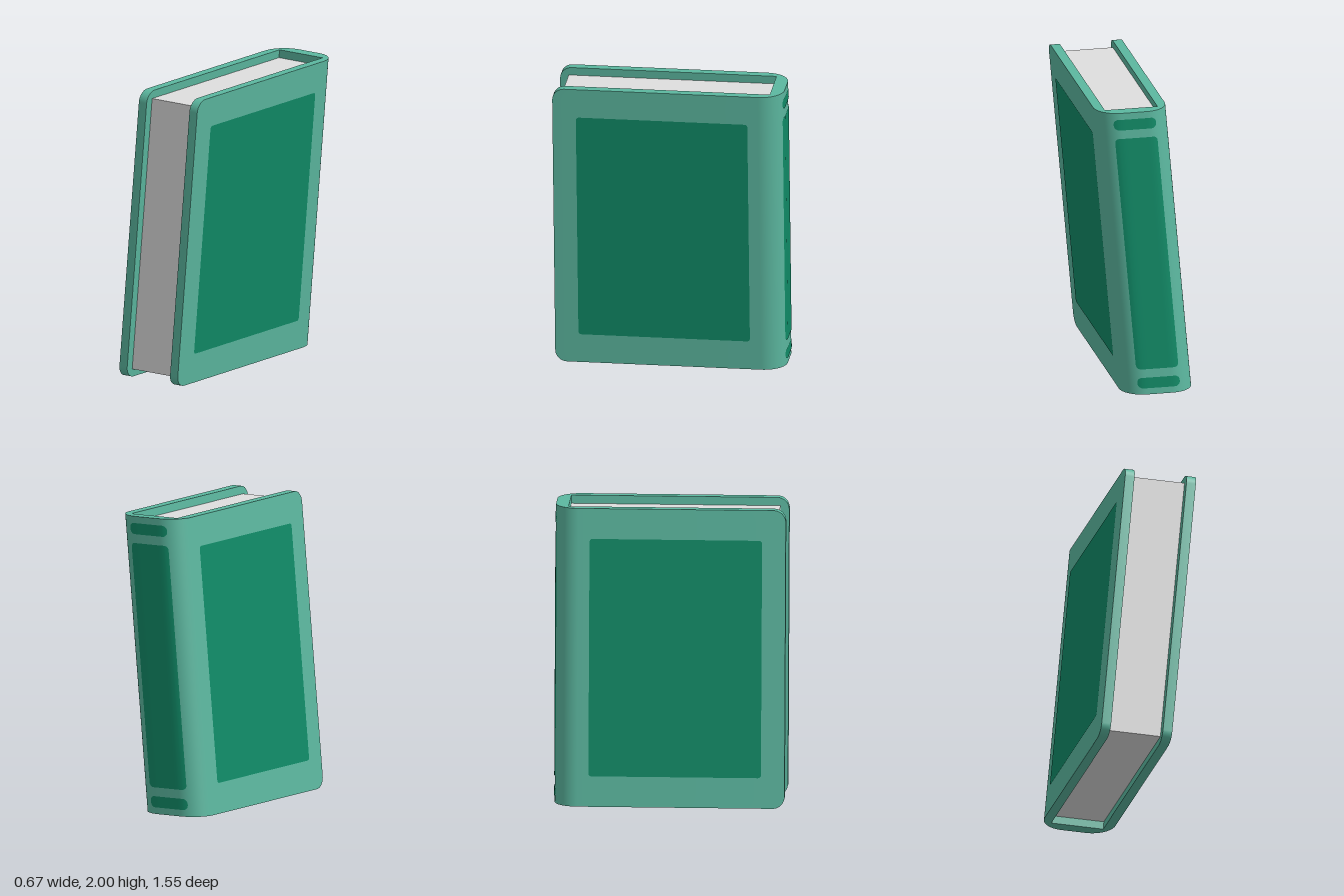
import * as THREE from 'three';
import { toCreasedNormals } from 'three/addons/utils/BufferGeometryUtils.js';

const HALF_W = 0.245, BACK = -0.773, FRONT = 0.773, HEIGHT = 2;
const THICK = 0.065, SPINE_R = 0.16, CORNER_R = 0.08, LEAN = 0.0885;
const LIFT = 0.004; // height of the painted panels above the cover

// Slant the book sideways while keeping its top and bottom level
function lean(geometry) {
  const p = geometry.attributes.position;
  for (let i = 0; i < p.count; i++) p.setX(i, p.getX(i) + LEAN * (p.getY(i) - 1));
  return geometry;
}

// Depth of the rounded spine at a given x
function spineZ(x) {
  const d = Math.max(0, Math.abs(x) - (HALF_W - SPINE_R));
  return BACK + SPINE_R - Math.sqrt(SPINE_R * SPINE_R - d * d);
}

// U-shaped binding, extruded upwards, with rounded front corners
function bindingGeometry() {
  const s = new THREE.Shape(); // shape y is -z
  const inner = HALF_W - THICK, flat = HALF_W - SPINE_R, arcY = -BACK - SPINE_R;
  s.moveTo(HALF_W, -FRONT);
  s.lineTo(HALF_W, arcY);
  s.absarc(flat, arcY, SPINE_R, 0, Math.PI / 2, false);
  s.lineTo(-flat, -BACK);
  s.absarc(-flat, arcY, SPINE_R, Math.PI / 2, Math.PI, false);
  s.lineTo(-HALF_W, -FRONT);
  s.lineTo(-inner, -FRONT);
  s.lineTo(-inner, 0.685);
  s.lineTo(inner, 0.685);
  s.lineTo(inner, -FRONT);

  const n = 8, rows = 2 * n + 1;
  const g = new THREE.ExtrudeGeometry(s, { depth: rows, steps: rows, bevelEnabled: false, curveSegments: 10 });
  g.rotateX(-Math.PI / 2);
  // Respace the rows and pull the front edge back around each corner
  const p = g.attributes.position;
  for (let i = 0; i < p.count; i++) {
    const row = Math.round(p.getY(i));
    const a = (Math.min(row, rows - row) / n) * Math.PI / 2;
    const y = CORNER_R * (1 - Math.cos(a));
    p.setY(i, row <= n ? y : HEIGHT - y);
    if (p.getZ(i) > FRONT - 0.001) p.setZ(i, FRONT - CORNER_R * (1 - Math.sin(a)));
  }
  return toCreasedNormals(lean(g), 0.5);
}

// Rounded rectangle made of columns, placed on a surface by place(u, y)
function panelGeometry(u0, u1, y0, y1, r, place) {
  const us = [], n = 6, mid = 12;
  for (let i = 0; i <= n; i++) us.push(u0 + r * (1 - Math.cos((i / n) * Math.PI / 2)));
  for (let i = 1; i < mid; i++) us.push(u0 + r + (u1 - u0 - 2 * r) * i / mid);
  for (let i = n; i >= 0; i--) us.push(u1 - r * (1 - Math.cos((i / n) * Math.PI / 2)));
  const pos = [], index = [];
  us.forEach((u, i) => {
    const d = Math.min(r, Math.max(0, r - Math.min(u - u0, u1 - u)));
    const inset = r - Math.sqrt(r * r - d * d);
    pos.push(...place(u, y0 + inset), ...place(u, y1 - inset));
    if (i) {
      const a = 2 * i - 2;
      index.push(a, a + 2, a + 3, a, a + 3, a + 1);
    }
  });
  const g = new THREE.BufferGeometry();
  g.setAttribute('position', new THREE.Float32BufferAttribute(pos, 3));
  g.setIndex(index);
  lean(g).computeVertexNormals();
  return g;
}

export function createModel() {
  const book = new THREE.Group();
  book.name = 'book';
  const coverMat = new THREE.MeshStandardMaterial({ name: 'cover green', color: 0x5cb8a0 });
  const panelMat = new THREE.MeshStandardMaterial({ name: 'panel dark green', color: 0x108b67 });
  const pageMat = new THREE.MeshStandardMaterial({ name: 'page white', color: 0xdedede });

  function add(name, geometry, material) {
    const mesh = new THREE.Mesh(geometry, material);
    mesh.name = name;
    book.add(mesh);
  }

  add('binding', bindingGeometry(), coverMat);

  // Page block between the covers
  const pages = new THREE.BoxGeometry(2 * (HALF_W - THICK), 1.89, 1.4);
  pages.translate(0, 1, 0.015);
  lean(pages).computeVertexNormals();
  add('pages', pages, pageMat);

  // Large panel on each cover; u runs so that the face points outwards
  for (const side of [1, -1]) {
    const place = (u, y) => [side * (HALF_W + LIFT), y, -side * u];
    const [u0, u1] = side > 0 ? [-0.615, 0.54] : [-0.54, 0.615];
    add(side > 0 ? 'leftCoverPanel' : 'rightCoverPanel', panelGeometry(u0, u1, 0.205, 1.797, 0.02, place), panelMat);
  }

  // Panels wrapped over the rounded spine
  const onSpine = (u, y) => [-u, y, spineZ(u) - LIFT];
  add('spinePanel', panelGeometry(-0.145, 0.145, 0.18, 1.82, 0.03, onSpine), panelMat);
  add('spineLowerBand', panelGeometry(-0.145, 0.145, 0.045, 0.12, 0.034, onSpine), panelMat);
  add('spineUpperBand', panelGeometry(-0.145, 0.145, 1.88, 1.955, 0.034, onSpine), panelMat);

  return book;
}
